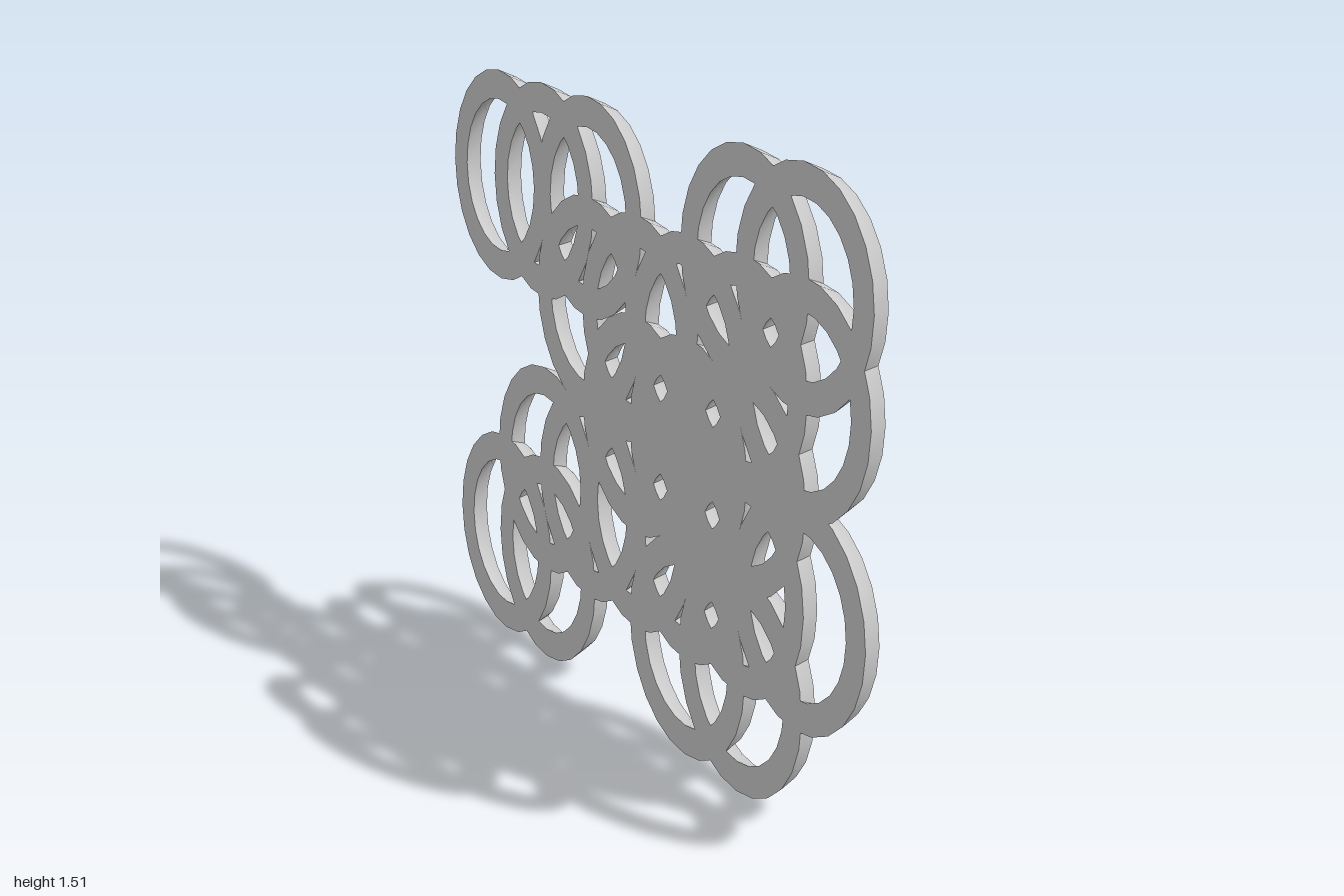
import * as THREE from 'three';
import { mergeGeometries } from 'three/addons/utils/BufferGeometryUtils.js';

const STEP = 0.2425;   // lattice spacing
const R = 0.2725;      // outer radius of a ring

// One ring: domed front and sides, flat back, axis along x
function ringGeometry() {
  const v = (r, h) => new THREE.Vector2(r, h);
  const dome = [v(R, -0.024), v(R - 0.021, 0.025), v(R - 0.054, 0.025), v(R - 0.075, -0.024)];
  const back = [dome[3], dome[0]];
  const geo = mergeGeometries([dome, back].map((p) => new THREE.LatheGeometry(p, 24)));
  return geo.rotateZ(-Math.PI / 2);
}

export function createModel() {
  const model = new THREE.Group();
  model.name = 'ringLattice';
  const geo = ringGeometry();
  const mat = new THREE.MeshStandardMaterial({ color: 0xcccccc });

  // Occupied lattice cells, top row first, columns from +z to -z
  const rows = [
    'OO..OOO',
    'OOOOO..',
    '.OOO...',
    'OOOOOO.',
    '.OO..OO',
  ];
  rows.forEach((row, j) => {
    [...row].forEach((cell, k) => {
      if (cell !== 'O') return;
      const ring = new THREE.Mesh(geo, mat);
      ring.name = `ring_row${j + 1}_column${k + 1}`;
      ring.position.set(0, R + (4 - j) * STEP, (3 - k) * STEP);
      model.add(ring);
    });
  });
  return model;
}
